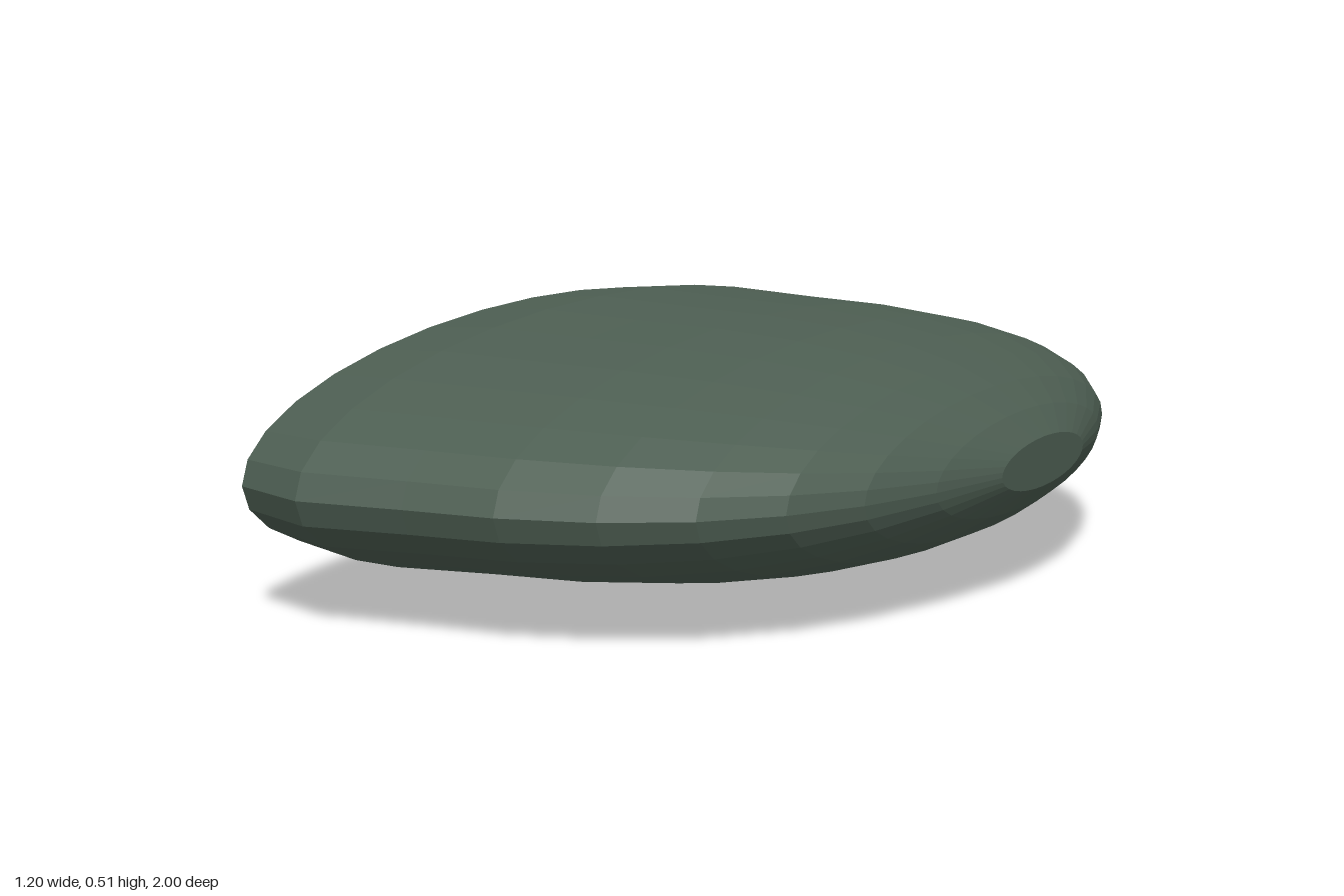
import * as THREE from 'three';

const SEGMENTS = 32;
const FLATTEN = 0.254; // height of the oval section relative to its width
const CENTER_Y = 0.256;

// Profiles run along the long axis: [radius, x]
const OUTER = [
  [0.94, -0.58], [0.998, -0.41], [0.966, -0.2], [0.945, -0.02], [0.89, 0.155], [0.80, 0.30],
  [0.68, 0.41], [0.54, 0.49], [0.375, 0.55], [0.19, 0.595],
];
const RIM = [[0.80, -0.6], [0.94, -0.58]];
const TIP = [[0.19, 0.595], [0, 0.595]];

// Inner wall follows the outer one at a small inset, from the closed end back to the rim
const INNER = [
  [0, 0.555],
  ...OUTER.slice(1).reverse().map(([r, x]) => [r * 0.93, x - 0.04 * Math.max(0, (x + 0.2) / 0.8)]),
  [0.80, -0.6],
];

// Revolves a profile around x and squashes it into an oval, with flat facets
function ovalShell(name, profile, material) {
  const points = profile.map(([r, x]) => new THREE.Vector2(r, x));
  let geometry = new THREE.LatheGeometry(points, SEGMENTS);
  geometry.rotateZ(-Math.PI / 2);
  geometry.scale(1, FLATTEN, 1);
  geometry = geometry.toNonIndexed();
  geometry.computeVertexNormals();
  const mesh = new THREE.Mesh(geometry, material);
  mesh.name = name;
  mesh.position.y = CENTER_Y;
  return mesh;
}

export function createModel() {
  const green = new THREE.MeshStandardMaterial({ color: 0x4d5e52, flatShading: true });
  green.name = 'dull green';

  const group = new THREE.Group();
  group.name = 'hollowOvalShell';
  group.add(
    ovalShell('outerShell', OUTER, green),
    ovalShell('tipCap', TIP, green),
    ovalShell('openingRim', RIM, green),
    ovalShell('innerWall', INNER, green),
  );
  return group;
}
